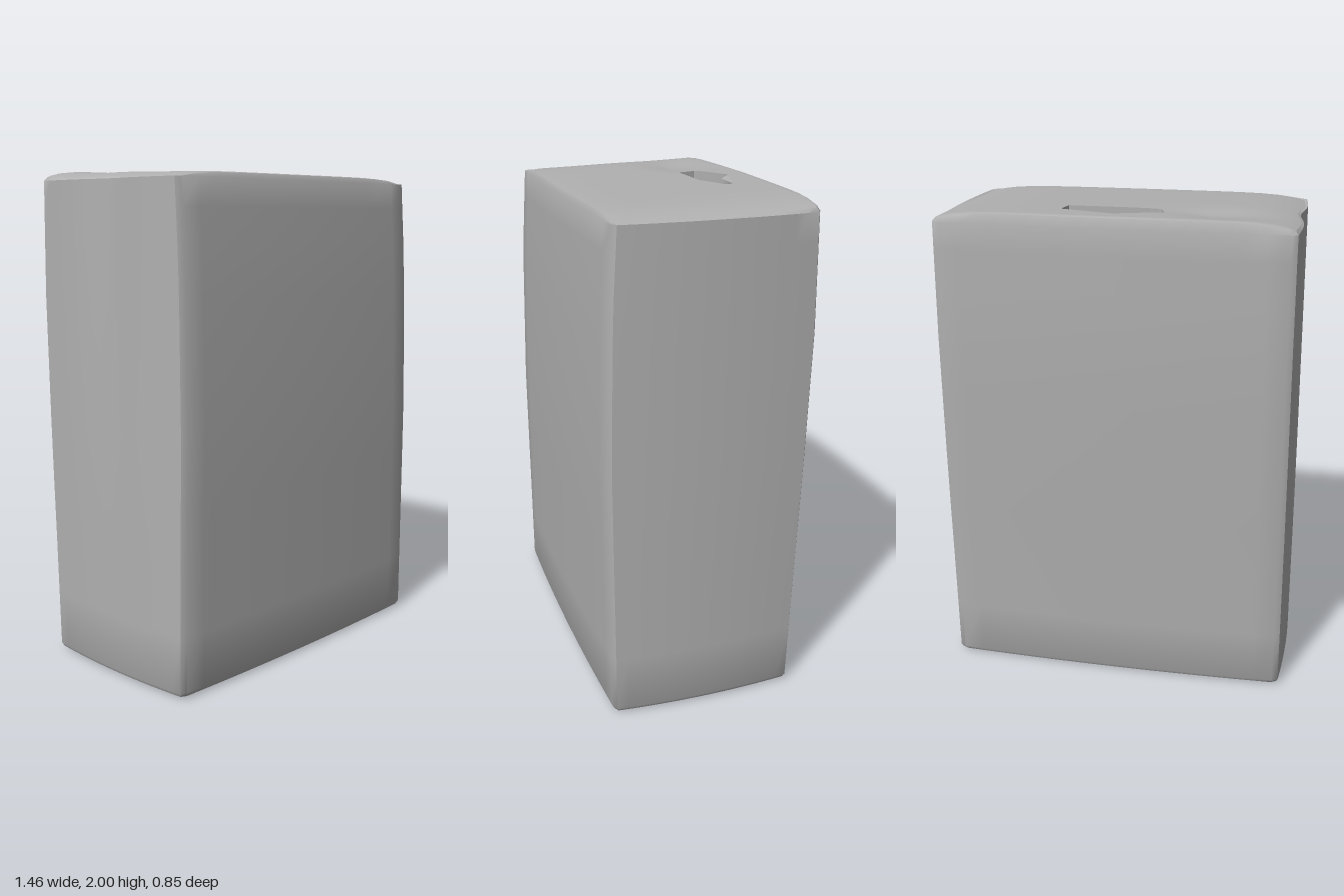
import * as THREE from 'three';
import { toCreasedNormals } from 'three/addons/utils/BufferGeometryUtils.js';

// Piecewise linear lookup: keys are [position, value]
function lookup(keys, t) {
  for (let i = 1; i < keys.length; i++) {
    const [a, va] = keys[i - 1], [b, vb] = keys[i];
    if (t <= b) return va + (vb - va) * Math.max(0, (t - a) / (b - a));
  }
  return keys[keys.length - 1][1];
}

const frontZ = [[0, 0.405], [1, 0.412], [1.6, 0.4], [2, 0.375]];
const backZ = [[0, -0.35], [0.5, -0.37], [1, -0.392], [1.5, -0.41], [2, -0.408]];
const halfX = [[0, 0.712], [0.8, 0.705], [2, 0.69]];
const STEPS = 16;

// Soft rectangular outline, counter-clockwise from above, u and v in -1..1
function outline() {
  const c = 0.97, corners = [[-1, 1], [1, 1], [1, -1], [-1, -1]], pts = [];
  corners.forEach(([u0, v0], k) => {
    const [u1, v1] = corners[(k + 1) % 4];
    for (let i = 0; i <= STEPS; i++) {
      const t = (i / STEPS) * 2 - 1;
      const m = ((1 + t * c) / 2);
      pts.push([u0 + (u1 - u0) * m, v0 + (v1 - v0) * m]);
    }
  });
  return pts;
}
const ring = outline();

// One horizontal section of the carton with bulging walls
function section(y, inset = 0) {
  const f = lookup(frontZ, y), b = lookup(backZ, y), hx = lookup(halfX, y);
  return ring.map(([u, v]) => {
    const bulgeZ = 0.016 * (1 - u * u), bulgeX = 0.02 * (1 - v * v);
    let x = u * (hx + bulgeX - inset);
    let z = (f + b) / 2 + v * ((f - b) / 2 + bulgeZ - inset);
    // folded gusset pressed into one side
    if (u < -0.98) x += 0.03 * (y / 2) ** 2 * Math.exp(-((z / 0.13) ** 2));
    return new THREE.Vector3(x, y, z);
  });
}

// Gently crowned lid with a shallow dent beside the opening
function lidHeight(x, z) {
  const edge = 0.03 * Math.abs(x / 0.7) ** 8;
  const dent = 0.018 * Math.exp(-(((x + 0.38) / 0.16) ** 2) - ((z + 0.22) / 0.1) ** 2);
  return 1.988 - 0.025 * z - edge - dent;
}

// Opening in the lid
const hole = [[-0.16, -0.17], [0.21, -0.17], [0.22, -0.26], [0, -0.33], [-0.18, -0.25]];
const holeX = 0.02, holeZ = -0.23;

// Point where a ray from the opening's middle meets its rim
function rimPoint(p) {
  const dx = p.x - holeX, dz = p.z - holeZ;
  let best = Infinity;
  hole.forEach(([ax, az], i) => {
    const [bx, bz] = hole[(i + 1) % hole.length];
    const nx = bz - az, nz = ax - bx;
    const d = dx * nx + dz * nz;
    const t = ((ax - holeX) * nx + (az - holeZ) * nz) / d;
    if (t > 0 && t < best) best = t;
  });
  return new THREE.Vector3(holeX + dx * best, 0, holeZ + dz * best);
}

// Skin a stack of equal rings
function loft(rows) {
  const n = ring.length, index = [];
  const pos = rows.flatMap(r => r.flatMap(p => [p.x, p.y, p.z]));
  for (let r = 0; r < rows.length - 1; r++) {
    for (let i = 0; i < n; i++) {
      const j = (i + 1) % n, a = r * n + i, b = r * n + j;
      index.push(a, b, b + n, a, b + n, a + n);
    }
  }
  const g = new THREE.BufferGeometry();
  g.setAttribute('position', new THREE.Float32BufferAttribute(pos, 3));
  g.setIndex(index);
  return toCreasedNormals(g, 0.7);
}

export function createModel() {
  const cardboard = new THREE.MeshStandardMaterial({ color: 0xb0b0b0, side: THREE.DoubleSide });
  cardboard.name = 'grey cardboard';
  const group = new THREE.Group();
  group.name = 'carton';
  const add = (name, geometry) => {
    const mesh = new THREE.Mesh(geometry, cardboard);
    mesh.name = name;
    group.add(mesh);
  };

  // Walls and slightly rounded base
  const base = section(0.01, 0.008);
  const walls = [0, 0.35, 0.7, 1].map(t =>
    base.map(p => new THREE.Vector3(p.x * t, 0.01 * t * t, p.z * t)));
  for (const y of [0.025, 0.25, 0.5, 0.75, 1, 1.25, 1.5, 1.7, 1.85, 1.955]) walls.push(section(y));
  const top = section(1.97, 0.01).map(p => p.setY(lidHeight(p.x, p.z) - 0.004));
  walls.push(top);
  add('walls', loft(walls));

  // Lid running inward to the opening, then a shallow recess
  const rim = top.map(rimPoint);
  const lid = [0, 0.08, 0.25, 0.45, 0.65, 0.85, 1].map(t => top.map((p, i) => {
    const q = p.clone().lerp(rim[i], t);
    return q.setY(t === 0 ? p.y : lidHeight(q.x, q.z));
  }));
  add('lid', loft(lid));
  const floor = rim.map(p => new THREE.Vector3(p.x, 1.955, p.z));
  const middle = rim.map(() => new THREE.Vector3(holeX, 1.95, holeZ));
  add('openingRecess', loft([lid[lid.length - 1], floor, middle]));

  // Torn flap along the back of the opening
  const flap = new THREE.BufferGeometry();
  flap.setAttribute('position', new THREE.Float32BufferAttribute([
    0, 1.996, -0.33, 0.22, 1.994, -0.26, 0.02, 1.985, -0.29], 3));
  flap.setIndex([0, 2, 1]);
  flap.computeVertexNormals();
  add('tornFlap', flap);

  return group;
}
